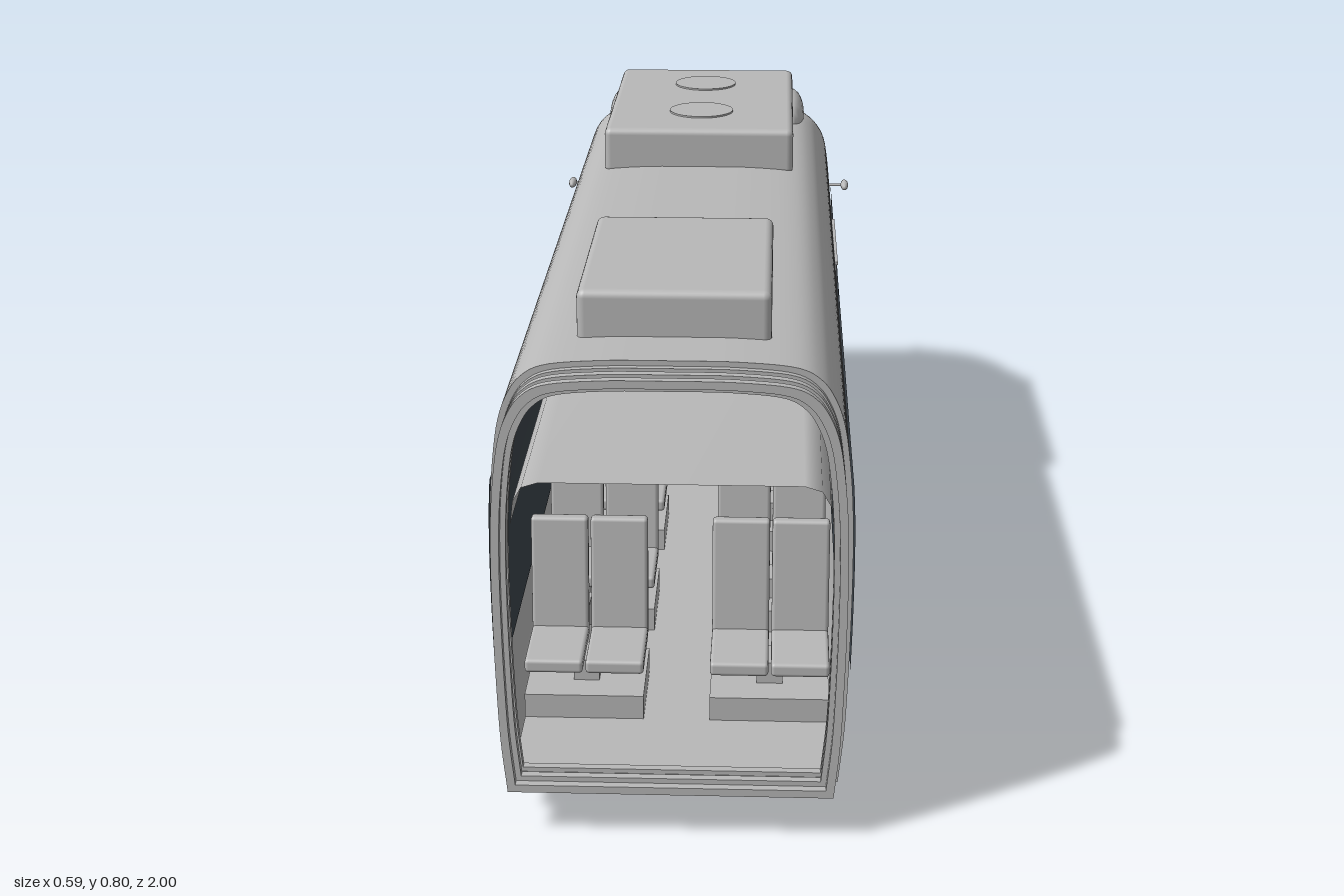
import * as THREE from 'three';
import { RoundedBoxGeometry } from 'three/addons/geometries/RoundedBoxGeometry.js';

const body = new THREE.MeshStandardMaterial({ color: 0xb8b8b8, side: THREE.DoubleSide });
body.name = 'body grey';
const glass = new THREE.MeshStandardMaterial({ color: 0x3b434a, side: THREE.DoubleSide });
glass.name = 'dark glass';

const END = 0.94, NOSE = 0.21, TAU = Math.PI * 2;

// Hull levels from sill to roof: half width, height, foremost z
const levels = new THREE.CatmullRomCurve3([
  [0.246, 0.065, -0.965], [0.254, 0.15, -0.98], [0.258, 0.25, -0.985], [0.26, 0.35, -0.972],
  [0.26, 0.45, -0.95], [0.257, 0.53, -0.927], [0.25, 0.6, -0.902], [0.244, 0.635, -0.885],
  [0.232, 0.67, -0.835], [0.212, 0.7, -0.78], [0.18, 0.718, -0.735], [0.1, 0.726, -0.715], [0, 0.727, -0.71],
].map((p) => new THREE.Vector3(...p)), false, 'centripetal').getPoints(72);

function levelAt(y) {
  const i = Math.max(1, levels.findIndex((p) => p.y >= y));
  const a = levels[i - 1], b = levels[i];
  return a.clone().lerp(b, THREE.MathUtils.clamp((y - a.y) / (b.y - a.y), 0, 1));
}

// Point on the rounded nose at plan angle t (0 = left side, PI = right side)
function nosePoint(l, t, off = 0) {
  const w = Math.max(0, l.x + off), b = NOSE + off, c = Math.cos(t);
  return new THREE.Vector3(w * Math.sign(c) * Math.abs(c) ** 0.8, l.y, l.z + NOSE - b * Math.max(0, Math.sin(t)) ** 0.8);
}

// Skin between rows of points
function loft(rows) {
  const n = rows[0].length, pos = [], idx = [];
  rows.forEach((r) => r.forEach((p) => pos.push(p.x, p.y, p.z)));
  for (let i = 0; i < rows.length - 1; i++) {
    for (let j = 0; j < n - 1; j++) {
      const a = i * n + j, b = a + n;
      idx.push(a, a + 1, b + 1, a, b + 1, b);
    }
  }
  const g = new THREE.BufferGeometry();
  g.setAttribute('position', new THREE.Float32BufferAttribute(pos, 3));
  g.setIndex(idx);
  g.computeVertexNormals();
  return g;
}

function hullRow(l, off = 0) {
  const row = [];
  for (let j = 0; j <= 48; j++) row.push(nosePoint(l, (j / 48) * Math.PI, off));
  const w = Math.max(0, l.x + off);
  return [new THREE.Vector3(w, l.y, END), ...row, new THREE.Vector3(-w, l.y, END)];
}

// Side panel that follows the curve of the wall
function sidePatch(y0, y1, z0, z1, off, s) {
  const rows = [];
  for (let i = 0; i <= 12; i++) {
    const y = y0 + ((y1 - y0) * i) / 12, x = s * (levelAt(y).x + off);
    const row = [new THREE.Vector3(x, y, z0), new THREE.Vector3(x, y, z1)];
    rows.push(s > 0 ? row : row.reverse());
  }
  return loft(rows);
}

// Body cross-section, shrunk by an inset
function section(inset, Type = THREE.Shape) {
  const k = (0.26 - inset) / 0.26, m = (0.331 - inset) / 0.331;
  const half = levels.map((p) => new THREE.Vector2(p.x * k, 0.396 + (p.y - 0.396) * m));
  const other = half.slice(0, -1).reverse().map((p) => new THREE.Vector2(-p.x, p.y));
  return new Type([...half, ...other]);
}

export function createModel() {
  const model = new THREE.Group();
  const add = (name, geo, x = 0, y = 0, z = 0, mat = body) => {
    const m = new THREE.Mesh(geo, mat);
    m.name = name;
    m.position.set(x, y, z);
    model.add(m);
    return m;
  };
  const box = (name, x0, x1, y0, y1, z0, z1, mat) => add(name,
    new THREE.BoxGeometry(x1 - x0, y1 - y0, z1 - z0), (x0 + x1) / 2, (y0 + y1) / 2, (z0 + z1) / 2, mat);
  const rod = (name, a, b, r) => add(name, new THREE.TubeGeometry(
    new THREE.LineCurve3(new THREE.Vector3(...a), new THREE.Vector3(...b)), 1, r, 8));

  // Shell, lining and underside
  add('bodyShell', loft(levels.map((l) => hullRow(l))));
  add('lining', loft(levels.filter((l) => l.y < 0.715).map((l) => hullRow(l, -0.01))));
  const sill = levels[0];
  add('underside', loft([hullRow(new THREE.Vector3(0, sill.y, sill.z)), hullRow(sill)]));

  // Windscreen wraps round the nose
  const screen = [];
  for (let i = 0; i <= 20; i++) {
    const k = i / 20, t0 = 0.56 + 0.26 * k, l = levelAt(0.25 + 0.378 * k), row = [];
    for (let j = 0; j <= 32; j++) row.push(nosePoint(l, t0 + ((Math.PI - 2 * t0) * j) / 32, 0.004));
    screen.push(row);
  }
  add('windscreen', loft(screen), 0, 0, 0, glass);
  rod('wiper', [0, 0.27, -0.99], [0.24, 0.43, -0.998], 0.002);

  // Concertina gangway rings
  for (let i = 0; i < 5; i++) {
    const inset = i % 2 ? 0.016 : 0.008, ring = section(inset);
    ring.holes.push(section(inset + 0.012, THREE.Path));
    add('gangwayFold', new THREE.ExtrudeGeometry(ring, { depth: 0.0125, bevelEnabled: false }), 0, 0, 0.9375 + i * 0.0125);
  }
  const rim = section(0);
  rim.holes.push(section(0.02, THREE.Path));
  add('endRim', new THREE.ShapeGeometry(rim), 0, 0, END);

  for (const s of [1, -1]) {
    // Windows, seen from outside and inside
    for (const off of [0.003, -0.013]) {
      add('longWindow', sidePatch(0.245, 0.54, 0.93, -0.095, off, s), 0, 0, 0, glass);
      add('cabWindow', sidePatch(0.245, 0.54, -0.44, -0.71, off, s), 0, 0, 0, glass);
    }
    // Double door with rails
    for (const [z0, z1] of [[-0.13, -0.267], [-0.273, -0.41]]) {
      add('doorLeaf', sidePatch(0.11, 0.535, z0, z1, 0.002, s));
    }
    for (const [z0, z1] of [[-0.14, -0.248], [-0.286, -0.393]]) {
      for (const off of [0.004, -0.013]) {
        add('doorWindow', sidePatch(0.15, 0.515, z0, z1, off, s), 0, 0, 0, glass);
      }
    }
    for (const y of [0.105, 0.54]) {
      const x = s * levelAt(y).x;
      box('doorRail', x - 0.005, x + 0.005, y - 0.003, y + 0.003, -0.415, -0.125);
    }
    for (const [y, z] of [[0.27, -0.115], [0.27, -0.425], [0.21, -0.93]]) {
      const x = z < -0.9 ? 0.16 : levelAt(y).x;
      add('marker', new THREE.SphereGeometry(0.006, 10, 8), s * x, y, z);
    }
    // Mirror on a short arm
    rod('mirrorArm', [s * 0.25, 0.543, -0.675], [s * 0.29, 0.543, -0.675], 0.003);
    add('mirror', new THREE.SphereGeometry(0.01, 16, 12), s * 0.288, 0.543, -0.675).scale.set(0.8, 0.95, 2.6);
    // Roof fairing
    add('roofFairing', new THREE.SphereGeometry(1, 20, 12), s * 0.172, 0.715, -0.6).scale.set(0.027, 0.045, 0.115);
  }

  // Roof equipment
  add('frontRoofUnit', new RoundedBoxGeometry(0.348, 0.085, 0.525, 3, 0.012), 0, 0.7545, -0.378);
  add('rearRoofUnit', new RoundedBoxGeometry(0.28, 0.085, 0.39, 3, 0.012), 0, 0.7525, 0.645);
  for (const z of [-0.5, -0.265]) add('roofFan', new THREE.CylinderGeometry(0.06, 0.06, 0.006, 32), 0, 0.797, z);
  add('roofSlopeFairing', new RoundedBoxGeometry(0.3, 0.02, 0.14, 2, 0.008), 0, 0.727, -0.665).rotation.x = -0.22;

  // Running gear
  for (const z of [0.585, 0.19]) {
    rod('axle', [-0.15, 0.065, z], [0.15, 0.065, z], 0.012);
    for (const s of [1, -1]) {
      const profile = [[0, -0.008], [0.03, -0.016], [0.065, -0.016], [0.065, -0.008], [0.056, -0.004], [0.054, 0.016], [0.03, 0.012], [0, 0.006]];
      const wheel = add('wheel', new THREE.LatheGeometry(profile.map((p) => new THREE.Vector2(...p)), 32), s * 0.165, 0.065, z);
      wheel.rotation.z = -s * Math.PI / 2;
      const x = s * 0.177;
      box('wheelBox', x - 0.023, x + 0.023, 0.085, 0.16, z - 0.075, z + 0.075);
    }
  }
  for (const s of [1, -1]) {
    rod('bogieRod', [s * 0.105, 0.056, 0.25], [s * 0.105, 0.056, 0.53], 0.006);
    for (const z of [0.49, 0.29]) {
      add('brakeDrum', new THREE.CylinderGeometry(0.024, 0.024, 0.01, 20), s * 0.105, 0.055, z).rotation.z = Math.PI / 2;
    }
  }
  for (const z of [0.46, 0.33]) rod('motor', [-0.09, 0.058, z], [0.065, 0.058, z], 0.018);

  // Interior: floor, ceiling and bulkhead
  box('floor', -0.235, 0.235, 0.077, 0.086, -0.44, 0.98);
  const arch = [[-0.232, 0.47], [-0.228, 0.505], [-0.215, 0.528], [-0.19, 0.536], [0.19, 0.536], [0.215, 0.528], [0.228, 0.505], [0.232, 0.47]];
  add('ceiling', loft([0.93, -0.44].map((z) => arch.map(([x, y]) => new THREE.Vector3(x, y, z)))));
  add('bulkhead', new THREE.ShapeGeometry(section(0.012)), 0, 0, -0.44);
  box('bulkheadStrip', -0.003, 0.003, 0.11, 0.535, -0.44, -0.434);
  box('noticeFrame', -0.067, 0.067, 0.474, 0.523, -0.44, -0.432);
  box('noticePanel', -0.062, 0.062, 0.478, 0.518, -0.432, -0.428, glass);
  box('bulkheadWindow', -0.175, -0.065, 0.363, 0.437, -0.438, -0.432, glass);

  // Seat pairs and poles
  for (const s of [1, -1]) {
    for (const z of [0.72, 0.42, 0.1]) {
      const c = s * 0.143;
      box('seatPlinth', c - 0.092, c + 0.092, 0.085, 0.125, z - 0.08, z + 0.08);
      box('seatPost', c - 0.02, c + 0.02, 0.12, 0.16, z - 0.03, z + 0.03);
      for (const d of [-0.047, 0.047]) {
        add('seatCushion', new RoundedBoxGeometry(0.09, 0.022, 0.13, 2, 0.006), c + d, 0.17, z + 0.01);
        add('seatBack', new RoundedBoxGeometry(0.09, 0.2, 0.022, 2, 0.006), c + d, 0.262, z - 0.06).rotation.x = -0.08;
      }
    }
    for (const z of [0.02, -0.42]) rod('pole', [s * 0.185, 0.086, z], [s * 0.185, 0.53, z], 0.0035);
  }
  return model;
}
